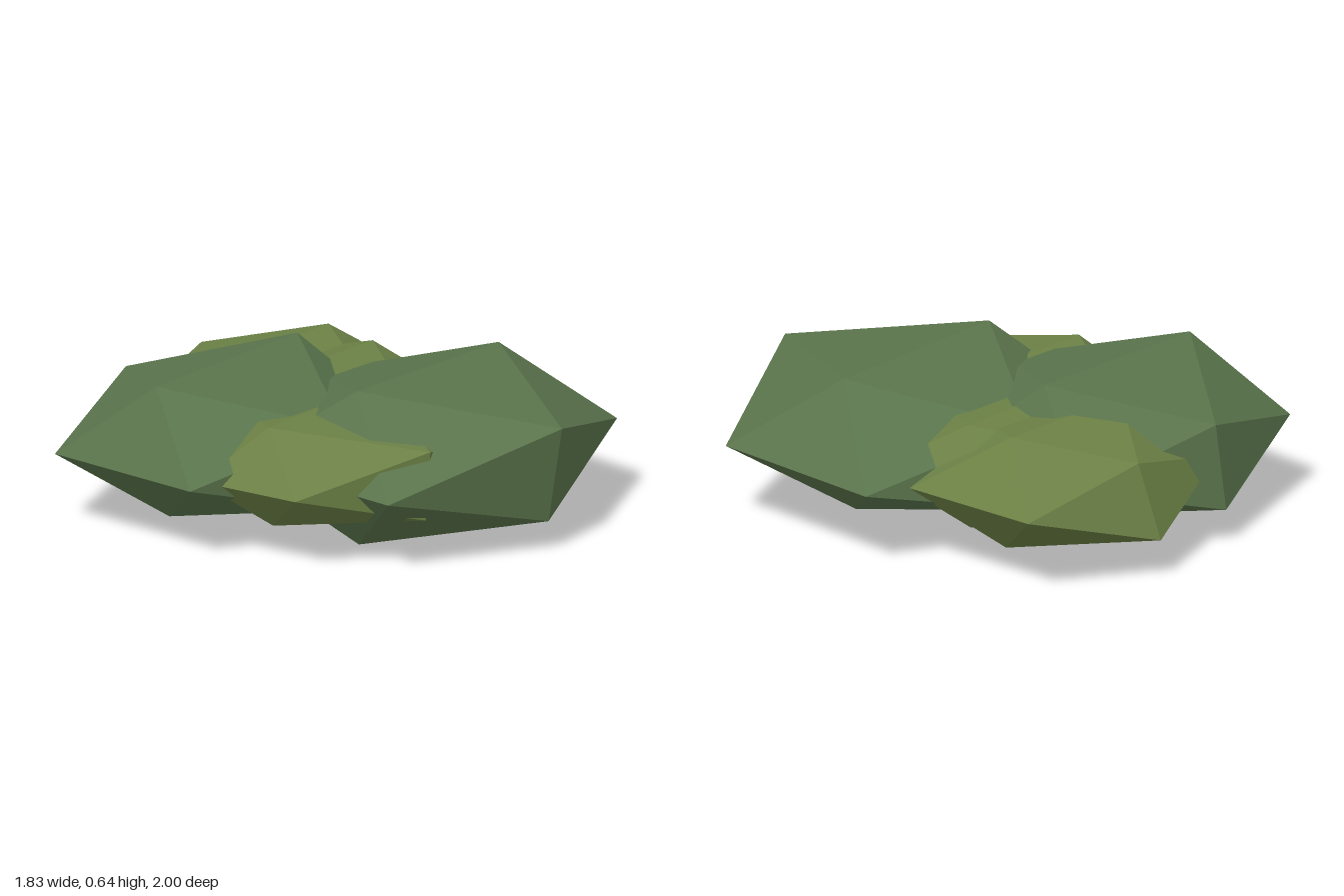
import * as THREE from 'three';

// Key such as '+-0' telling which of the twelve corners a vertex is
const sign = (v) => (Math.abs(v) < 0.01 ? '0' : v > 0 ? '+' : '-');

// Squashed twenty-sided clump: centre, half extents, and corners pushed to new places
function clump(name, material, centre, half, moved) {
  const geometry = new THREE.IcosahedronGeometry(1, 0);
  const p = geometry.attributes.position;
  const reach = 0.85065;
  for (let i = 0; i < p.count; i++) {
    const v = [p.getX(i), p.getY(i), p.getZ(i)];
    const key = v.map(sign).join('');
    const at = moved[key] || v.map((c, k) => centre[k] + (c / reach) * half[k]);
    p.setXYZ(i, ...at);
  }
  geometry.deleteAttribute('uv');
  geometry.computeVertexNormals();
  const mesh = new THREE.Mesh(geometry, material);
  mesh.name = name;
  return mesh;
}

export function createModel() {
  const green = new THREE.MeshStandardMaterial({ color: 0x5a744c, flatShading: true });
  green.name = 'leaf green';
  const olive = new THREE.MeshStandardMaterial({ color: 0x6b8045, flatShading: true });
  olive.name = 'olive green';

  const group = new THREE.Group();
  group.name = 'bush';
  group.add(
    // Two large clumps
    clump('frontClump', green, [0.17, 0.32, 0.31], [0.68, 0.31, 0.67], {
      '-+0': [-0.26, 0.64, 0.31],
      '++0': [0.58, 0.62, 0.31],
      '--0': [-0.25, 0, 0.31],
      '+-0': [0.51, 0.06, 0.31],
      '0++': [0.17, 0.53, 1],
      '0-+': [0.17, 0.13, 0.93],
      '0+-': [0.17, 0.46, -0.31],
      '+0+': [0.85, 0.32, 0.69],
      '+0-': [0.91, 0.32, -0.11],
      '-0+': [-0.51, 0.32, 0.69],
    }),
    clump('backClump', green, [-0.3, 0.32, -0.335], [0.62, 0.29, 0.58], {
      '-+0': [-0.72, 0.63, -0.335],
      '++0': [0.12, 0.63, -0.335],
      '--0': [-0.64, 0.07, -0.335],
      '+-0': [0.05, 0.07, -0.335],
      '0+-': [-0.3, 0.48, -0.86],
      '0++': [-0.3, 0.49, 0.28],
      '-0-': [-0.915, 0.32, -0.69],
      '-0+': [-0.9, 0.32, 0],
    }),
    // Three smaller clumps tucked between them
    clump('backSideClump', olive, [0.17, 0.32, -0.48], [0.54, 0.22, 0.52], {
      '++0': [0.47, 0.54, -0.48],
      '+-0': [0.5, 0.09, -0.48],
      '0+-': [0.17, 0.45, -0.88],
      '0--': [0.17, 0.16, -1],
      '+0-': [0.71, 0.32, -0.79],
      '+0+': [0.72, 0.32, -0.17],
    }),
    clump('middleClump', olive, [0.11, 0.32, -0.24], [0.54, 0.22, 0.53], {
      '++0': [0.46, 0.53, -0.24],
      '0+-': [0.11, 0.43, -0.75],
    }),
    clump('frontSideClump', olive, [-0.27, 0.32, 0.135], [0.5, 0.21, 0.54], {
      '-+0': [-0.59, 0.535, 0.135],
      '--0': [-0.56, 0.12, 0.135],
      '0++': [-0.27, 0.48, 0.7],
      '-0+': [-0.72, 0.32, 0.39],
      '-0-': [-0.79, 0.32, -0.05],
    }),
  );
  return group;
}
